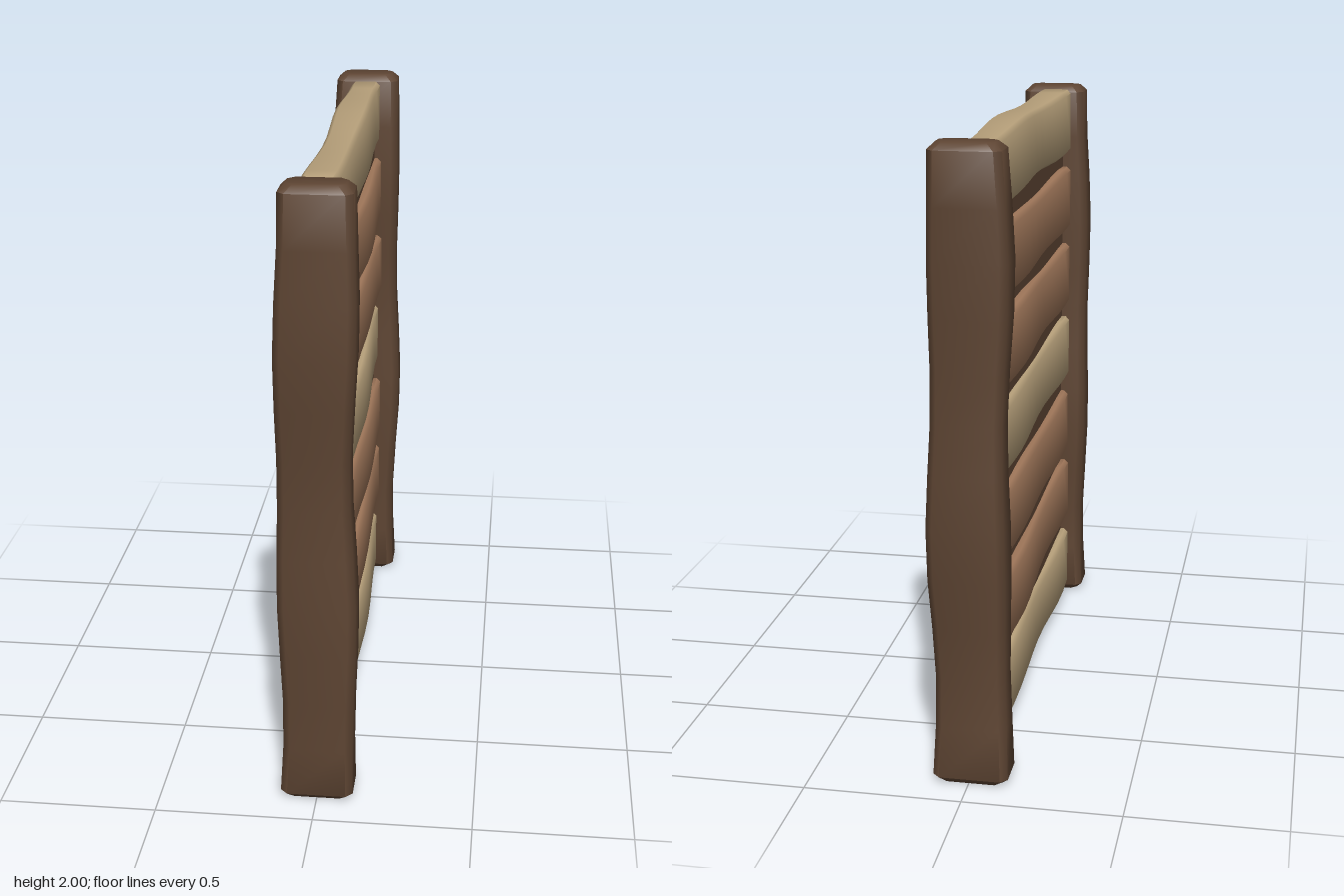
import * as THREE from 'three';
import { toCreasedNormals } from 'three/addons/utils/BufferGeometryUtils.js';

const mat = (name, color) => {
  const m = new THREE.MeshStandardMaterial({ color });
  m.name = name;
  return m;
};

// Rough-hewn beam along z: chamfered cross-sections that wander slightly along the length
function beam(w, h, length, chamfer, wobble, seed, endInset = chamfer) {
  const steps = 12, pos = [], index = [];
  const rings = [[-length / 2, endInset]];
  for (let i = 0; i <= steps; i++) {
    rings.push([(i / steps - 0.5) * (length - 2 * endInset), 0]);
  }
  rings.push([length / 2, endInset]);

  for (const [z, inset] of rings) {
    const dx = wobble * 0.5 * Math.sin(z * 4.3 + seed * 2.1);
    const dy = wobble * 0.6 * Math.sin(z * 5.1 + seed * 1.7);
    const grow = wobble * 0.5 * Math.sin(z * 7.3 + seed * 3.3);
    const a = w / 2 - inset + grow, b = h / 2 - inset + grow;
    const c = Math.min(chamfer, a * 0.7, b * 0.7);
    const section = [[a, c - b], [a, b - c], [a - c, b], [c - a, b],
      [-a, b - c], [-a, c - b], [c - a, -b], [a - c, -b]];
    for (const [x, y] of section) pos.push(x + dx, y + dy, z);
  }
  for (let i = 0; i < rings.length - 1; i++) {
    for (let j = 0; j < 8; j++) {
      const k = (j + 1) % 8, p = i * 8, q = p + 8;
      index.push(p + j, p + k, q + k, p + j, q + k, q + j);
    }
  }
  const last = (rings.length - 1) * 8;
  for (let j = 1; j < 7; j++) {
    index.push(0, j + 1, j, last, last + j, last + j + 1);
  }
  const g = new THREE.BufferGeometry();
  g.setAttribute('position', new THREE.Float32BufferAttribute(pos, 3));
  g.setIndex(index);
  return toCreasedNormals(g, 0.85);
}

export function createModel() {
  const group = new THREE.Group();
  group.name = 'woodenFence';
  const dark = mat('darkWood', 0x5e4533);
  const brown = mat('brownWood', 0xa0775a);
  const tan = mat('paleWood', 0xb9a27c);

  const add = (name, geometry, material, y, z) => {
    const mesh = new THREE.Mesh(geometry, material);
    mesh.name = name;
    mesh.position.set(0, y, z);
    group.add(mesh);
  };

  // Upright posts at both ends
  for (const side of [1, -1]) {
    const post = beam(0.23, 0.148, 2, 0.022, 0.012, side * 2 + 3);
    post.rotateX(-Math.PI / 2);
    add(side > 0 ? 'frontPost' : 'backPost', post, dark, 1, side * 0.822);
  }

  // Recessed backing seen between the planks
  add('backingPanel', new THREE.BoxGeometry(0.064, 1.86, 1.56), dark, 1.01, 0);

  // Seven horizontal planks, every third one pale
  for (let i = 0; i < 7; i++) {
    const pale = i % 3 === 0;
    const plank = beam(pale ? 0.108 : 0.118, 0.226, 1.54, 0.014, 0.008, i * 1.9 + 1, 0.004);
    add(pale ? 'palePlank' : 'brownPlank', plank, pale ? tan : brown, 0.145 + i * 0.288, 0);
  }
  return group;
}
